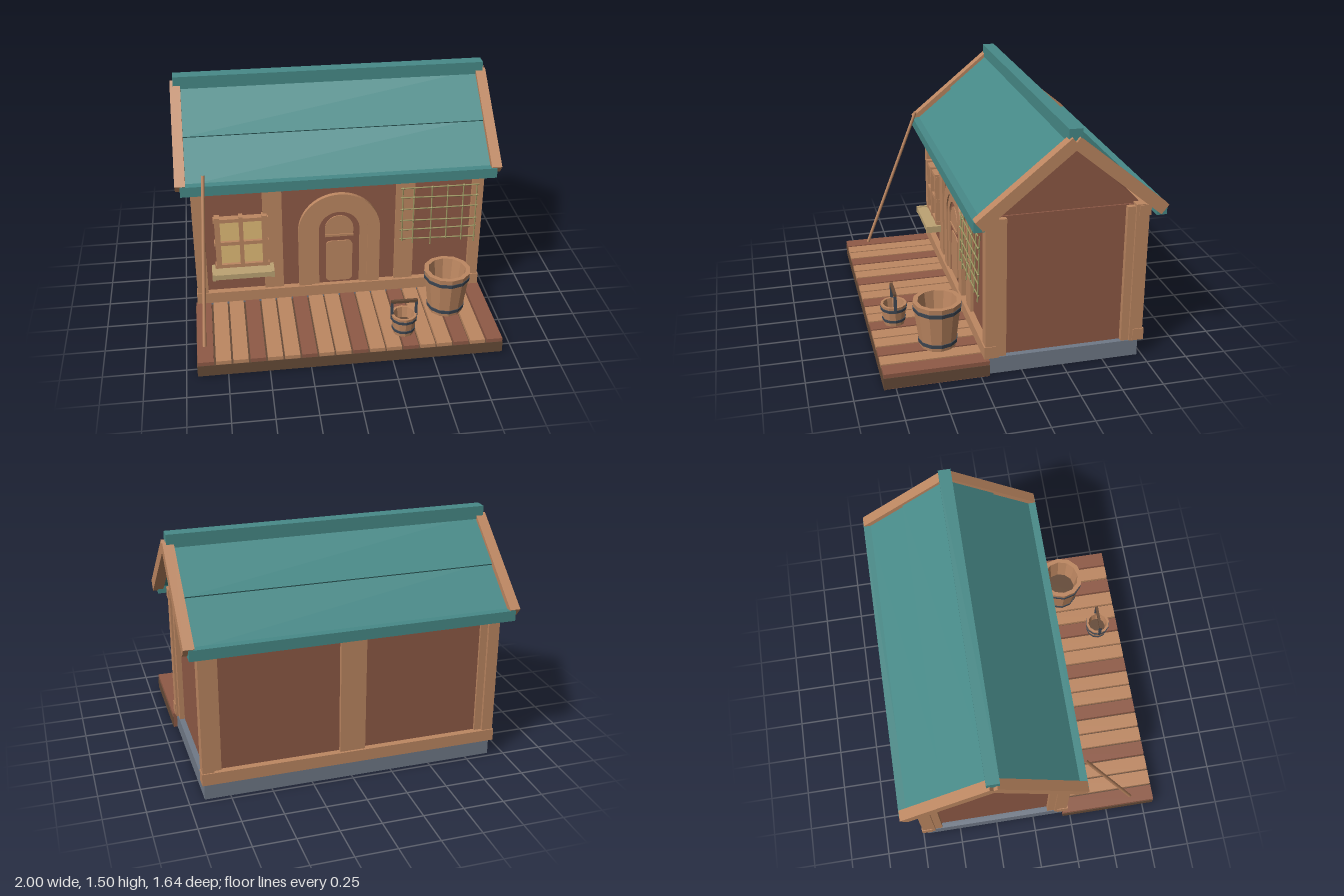
import * as THREE from 'three';

const mat = (name, color) => {
  const m = new THREE.MeshStandardMaterial({ color });
  m.name = name;
  return m;
};

export function createModel() {
  const tan = mat('tan timber', 0xbd8761);
  const red = mat('red brown boards', 0x8f5a46);
  const dark = mat('dark brown timber', 0x654a37);
  const teal = mat('teal roofing', 0x478a88);
  const stone = mat('slate stone', 0x707987);
  const iron = mat('dark iron', 0x3f4854);
  const glass = mat('warm glass', 0xe2bd78);
  const sillMat = mat('pale sill wood', 0xbda373);
  const vine = mat('olive lattice', 0x9c9560);

  const root = new THREE.Group();
  root.name = 'cottage';

  const add = (name, geo, m, parent = root) => {
    const mesh = new THREE.Mesh(geo, m);
    mesh.name = name;
    parent.add(mesh);
    return mesh;
  };
  // Box from its limits on each axis
  const box = (name, m, x0, x1, y0, y1, z0, z1, parent = root) => {
    const mesh = add(name, new THREE.BoxGeometry(x1 - x0, y1 - y0, z1 - z0), m, parent);
    mesh.position.set((x0 + x1) / 2, (y0 + y1) / 2, (z0 + z1) / 2);
    return mesh;
  };
  // Thin round rod between two points
  const rod = (name, m, a, b, r, parent = root) =>
    add(name, new THREE.TubeGeometry(new THREE.LineCurve3(new THREE.Vector3(...a), new THREE.Vector3(...b)), 1, r, 12), m, parent);
  const plate = (name, shape, m, z, depth) => {
    const mesh = add(name, new THREE.ExtrudeGeometry(shape, { depth, bevelEnabled: false, curveSegments: 14 }), m);
    mesh.position.z = z;
    return mesh;
  };
  const both = (fn) => [-1, 1].forEach(fn);

  // Foundation: thin frame with a recessed floor
  both((s) => {
    box('foundationSide', stone, s * 0.893 - 0.012, s * 0.893 + 0.012, 0, 0.105, -0.72, 0.2);
    box('foundationEnd', stone, -0.881, 0.881, 0, 0.105, s * 0.448 - 0.272, s * 0.448 - 0.248);
  });
  box('foundationFloor', stone, -0.881, 0.881, 0.06, 0.1, -0.696, 0.176);

  // Porch deck: dark base with alternating planks set through it
  box('deckBase', dark, -0.933, 0.933, 0.004, 0.075, 0.2, 0.82);
  box('deckFascia', dark, -0.933, 0.933, 0, 0.075, 0.805, 0.82);
  const pitch = 1.86 / 18;
  for (let i = 0; i < 18; i++) {
    const x = -0.93 + i * pitch;
    const m = i % 3 === 0 || i === 17 ? red : tan;
    box('deckPlank', m, x + (i ? 0.006 : 0), x + pitch - (i < 17 ? 0.006 : 0), 0, 0.1, 0.2, 0.818);
  }

  // Walls and gable
  box('walls', red, -0.87, 0.87, 0.105, 0.98, -0.71, 0.19);
  const gable = new THREE.Shape([[-0.445, 0.98], [0.445, 0.98], [0, 1.392]].map((p) => new THREE.Vector2(...p)));
  const gableMesh = add('gable', new THREE.ExtrudeGeometry(gable, { depth: 1.72, bevelEnabled: false }), red);
  gableMesh.rotation.y = Math.PI / 2;
  gableMesh.position.set(-0.86, 0, -0.26);

  // Timber frame: corner posts, side posts, sills and top plates
  const frame = new THREE.Group();
  frame.name = 'timberFrame';
  frame.position.z = -0.26;
  root.add(frame);
  both((f) => {
    const span = (name, x0, x1, y0, y1, a, b) =>
      box(name, tan, x0, x1, y0, y1, Math.min(f * a, f * b), Math.max(f * a, f * b), frame);
    span('sillBeam', -0.92, 0.92, 0.11, 0.185, 0.42, 0.49);
    span('topBeam', -0.92, 0.92, 0.92, 0.985, 0.42, 0.49);
    both((s) => {
      const x = s * 0.88;
      span('cornerPost', x - 0.035, x + 0.035, 0.107, 0.99, 0.402, 0.482);
      span('sidePost', x - 0.022, x + 0.022, 0.107, 0.975, 0.355, 0.402);
      if (f > 0) span('frontPost', s * 0.42 - 0.06, s * 0.42 + 0.06, 0.185, 0.92, 0.42, 0.47);
      else span('backInnerPost', s * 0.825 - 0.025, s * 0.825 + 0.025, 0.185, 0.92, 0.42, 0.465);
    });
    if (f < 0) span('backPost', -0.078, 0.078, 0.185, 0.92, 0.42, 0.475);
  });

  // Roof: two equal slopes, the upper panel lapping over the lower
  both((f) => {
    const side = new THREE.Group();
    side.name = f > 0 ? 'frontRoof' : 'backRoof';
    side.position.z = -0.26;
    side.rotation.y = f > 0 ? 0 : Math.PI;
    root.add(side);
    box('eaveTrim', teal, -0.97, 0.97, 0.94, 1.005, 0.5, 0.562, side);
    const slope = new THREE.Group();
    slope.name = 'slope';
    slope.position.set(0, 1.01, 0.56);
    slope.rotation.x = Math.atan2(0.44, 0.538);
    side.add(slope);
    both((s) => box('rakeBoard', tan, s * 0.968 - 0.032, s * 0.968 + 0.032, -0.07, 0, -0.695, 0, slope));
    box('lowerRoofPanel', teal, -0.936, 0.936, -0.055, -0.032, -0.36, -0.02, slope);
    box('upperRoofPanel', teal, -0.936, 0.936, -0.045, -0.02, -0.69, -0.335, slope);
  });
  box('ridgeCap', teal, -0.98, 0.98, 1.415, 1.495, -0.3, -0.222);

  // Arched door
  const arch = (r, y0, yc) => {
    const s = new THREE.Shape();
    s.moveTo(-r, y0);
    s.lineTo(r, y0);
    s.lineTo(r, yc);
    s.absarc(0, yc, r, 0, Math.PI, false);
    s.closePath();
    return s;
  };
  const ring = (r, inner) => {
    const s = arch(r, 0.18, 0.585);
    s.holes.push(arch(inner, 0.181, 0.585));
    return s;
  };
  plate('outerDoorArch', ring(0.26, 0.18), tan, 0.185, 0.034);
  plate('innerDoorArch', ring(0.18, 0.13), tan, 0.185, 0.025);
  plate('door', arch(0.132, 0.18, 0.585), red, 0.185, 0.015);
  plate('doorWindow', arch(0.09, 0.54, 0.595), tan, 0.199, 0.008);
  box('doorWindowSill', tan, -0.09, 0.09, 0.537, 0.552, 0.199, 0.213);
  const panel = new THREE.Shape();
  const [pw, pb, pt, pr] = [0.085, 0.2, 0.5, 0.03];
  panel.absarc(pw - pr, pb + pr, pr, -Math.PI / 2, 0);
  panel.absarc(pw - pr, pt - pr, pr, 0, Math.PI / 2);
  panel.absarc(-pw + pr, pt - pr, pr, Math.PI / 2, Math.PI);
  panel.absarc(-pw + pr, pb + pr, pr, Math.PI, Math.PI * 1.5);
  plate('doorPanel', panel, tan, 0.199, 0.008);

  // Window with crossed bars and a deep sill
  box('windowGlass', glass, -0.76, -0.48, 0.385, 0.715, 0.19, 0.215);
  [-0.765, -0.618, -0.472].forEach((x, i) => {
    const w = i === 1 ? 0.013 : 0.017;
    box('windowUpright', tan, x - w, x + w, 0.375, 0.74, 0.19, 0.24);
  });
  [0.385, 0.55, 0.715].forEach((y) => box('windowRail', tan, -0.79, -0.448, y - 0.012, y + 0.012, 0.19, 0.235));
  box('windowSill', sillMat, -0.8, -0.435, 0.335, 0.37, 0.19, 0.31);
  both((s) => box('sillEnd', sillMat, -0.618 + s * 0.185 - 0.01, -0.618 + s * 0.185 + 0.01, 0.33, 0.375, 0.19, 0.312));

  // Slightly uneven climbing lattice, knotted where the rods cross
  const lattice = new THREE.Group();
  lattice.name = 'lattice';
  root.add(lattice);
  const columns = [0.395, 0.465, 0.58, 0.68, 0.78, 0.865];
  const rows = [0.875, 0.81, 0.725, 0.645, 0.575, 0.51];
  columns.forEach((x, i) =>
    rod('latticeUpright', vine, [x, 0.885 - 0.006 * (i % 3), 0.243], [x, 0.5 - 0.02 * (i % 3), 0.257], 0.0045, lattice));
  rows.forEach((y, j) => {
    rod('latticeRail', vine, [0.38, y, 0.25], [0.875, y - 0.012 * (j % 2), 0.254], 0.0045, lattice);
    columns.forEach((x, i) => {
      if ((i + j) % 2) return;
      const knot = add('latticeKnot', new THREE.SphereGeometry(0.008, 10, 8), vine, lattice);
      knot.position.set(x, y - 0.012 * (j % 2) * (x - 0.38) / 0.495, 0.252);
    });
  });

  // Leaning pole
  rod('pole', tan, [-0.885, 0.1, 0.665], [-0.828, 1.08, 0.3], 0.011);

  // Staved buckets with dark insides and iron hoops
  const lathe = (name, points, m, parent) => {
    const geo = new THREE.LatheGeometry(points.map((p) => new THREE.Vector2(...p)), 12).toNonIndexed();
    geo.computeVertexNormals();
    return add(name, geo, m, parent);
  };
  const bucket = (name, x, z, rb, rt, h, hoops, hoopH) => {
    const g = new THREE.Group();
    g.name = name;
    g.position.set(x, 0.1, z);
    root.add(g);
    const t = rt * 0.2;
    const deep = h * 0.45;
    const inner = rb + (rt - rb) * 0.45 - t;
    lathe('staves', [[0, 0], [rb, 0], [rt, h], [rt - t, h], [inner, deep]], tan, g);
    lathe('bucketFloor', [[inner + 0.004, deep + 0.004], [0, deep + 0.004]], dark, g);
    hoops.forEach((y) => {
      const r = (k) => rb + ((rt - rb) * k) / h + 0.005;
      const [a, b] = [y - hoopH / 2, y + hoopH / 2];
      lathe('hoop', [[r(a) - 0.009, a], [r(a), a], [r(b), b], [r(b) - 0.009, b]], iron, g);
    });
    return g;
  };
  bucket('largeBucket', 0.652, 0.45, 0.11, 0.147, 0.292, [0.035, 0.248], 0.024);
  const pail = bucket('smallBucket', 0.34, 0.665, 0.064, 0.081, 0.135, [0.035, 0.108], 0.018);
  both((s) => box('handleUpright', iron, s * 0.075 - 0.007, s * 0.075 + 0.007, 0.1, 0.22, -0.009, 0.009, pail));
  box('handleGrip', dark, -0.082, 0.082, 0.215, 0.233, -0.009, 0.009, pail);

  return root;
}
